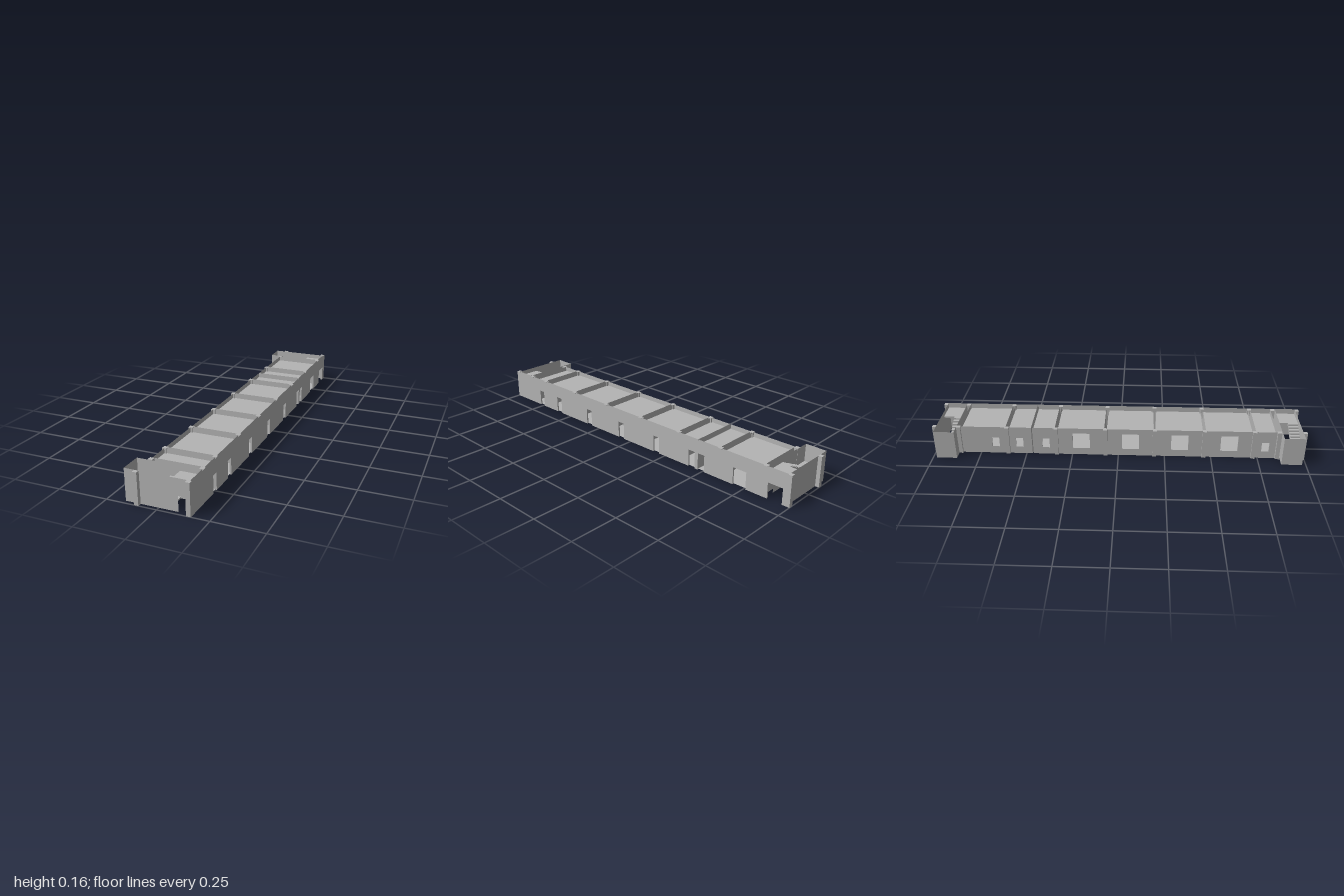
import * as THREE from 'three';
import { mergeGeometries } from 'three/addons/utils/BufferGeometryUtils.js';

const H = 0.16;         // wall height
const DECK = 0.135;     // upper deck level
const BACK_X = -0.1, ROOM_X = 0.155, OUTER_X = 0.163;

const grey = new THREE.MeshStandardMaterial({ color: 0xb4b4b4, side: THREE.DoubleSide });
grey.name = 'concrete grey';

// Flat rectangle lying in the plane where the given axis is constant
function rect(axis, at, a0, a1, b0, b1) {
  const g = new THREE.PlaneGeometry(a1 - a0, b1 - b0);
  const a = (a0 + a1) / 2, b = (b0 + b1) / 2;
  if (axis === 'x') return g.rotateY(at > 0 ? Math.PI / 2 : -Math.PI / 2).translate(at, b, a);
  if (axis === 'z') return g.rotateY(at > 0 ? 0 : Math.PI).translate(a, b, at);
  return g.rotateX(at > 0.01 ? -Math.PI / 2 : Math.PI / 2).translate(a, at, b);
}

// Wall sheet with rectangular openings [start, end, sill, head]
function wallSheet(axis, at, a0, a1, openings = []) {
  const parts = [];
  let cursor = a0;
  const inside = openings.filter(o => o[0] >= a0 && o[1] <= a1).sort((p, q) => p[0] - q[0]);
  for (const [s, e, sill, head] of inside) {
    if (s > cursor) parts.push(rect(axis, at, cursor, s, 0, H));
    if (sill > 0) parts.push(rect(axis, at, s, e, 0, sill));
    parts.push(rect(axis, at, s, e, head, H));
    cursor = e;
  }
  if (a1 > cursor) parts.push(rect(axis, at, cursor, a1, 0, H));
  return mergeGeometries(parts);
}

function box(x0, x1, y0, y1, z0, z1) {
  return new THREE.BoxGeometry(x1 - x0, y1 - y0, z1 - z0)
    .translate((x0 + x1) / 2, (y0 + y1) / 2, (z0 + z1) / 2);
}

function add(parent, name, geometry) {
  const mesh = new THREE.Mesh(geometry, grey);
  mesh.name = name;
  parent.add(mesh);
}

// Doorways along the long corridor wall
const doors = [
  [0.74, 0.775], [0.575, 0.615], [0.31, 0.35], [0.05, 0.09], [-0.21, -0.17],
  [-0.45, -0.41], [-0.51, -0.47], [-0.76, -0.685], [-0.96, -0.88],
].map(([s, e]) => [s, e, 0, s < -0.9 ? 0.083 : 0.09]);

// Windows of the opposite side: large in the wide rooms, small in the others
const windows = [
  ...[-0.2, 0.065, 0.33, 0.595].map(z => [z - 0.046, z + 0.046, 0.04, 0.13]),
  ...[-0.665, -0.535, -0.392, 0.788].map(z => [z - 0.02, z + 0.02, 0.04, 0.095]),
];

// One room: floor, deck and four walls rising to a low parapet
function room(z0, z1) {
  const g = new THREE.Group();
  g.name = 'room';
  const roomDoors = doors.map(([s, e, lo, hi]) => [Math.max(s, z0), Math.min(e, z1), lo, hi])
    .filter(o => o[1] > o[0]);
  add(g, 'floor', rect('y', 0.002, BACK_X, ROOM_X, z0, z1));
  add(g, 'deck', rect('y', DECK, BACK_X, ROOM_X, z0, z1));
  add(g, 'windowWall', wallSheet('x', BACK_X, z0, z1, windows));
  add(g, 'doorWall', wallSheet('x', ROOM_X, z0, z1, roomDoors));
  add(g, 'crossWalls', mergeGeometries([z0, z1].map(z => wallSheet('z', z, BACK_X, ROOM_X))));
  return g;
}

// Stair tower between z0 and z1; both towers turn the same way
function stairTower(z0, z1) {
  const g = new THREE.Group();
  g.name = 'stairTower';
  const front = z0 > 0, outer = front ? z1 : z0, inner = front ? z0 : z1;
  const left = -0.163, mid = DECK / 2, steps = 8;
  const footX = 0.05, turnX = -0.09, run = (footX - turnX) / steps;
  const zm = (z0 + z1) / 2, gap = front ? 0.001 : 0.004;

  add(g, 'endWall', wallSheet('z', outer, left, 0.142, front ? [[0.095, 0.14, 0, 0.08]] : []));
  add(g, 'innerWall', wallSheet('z', inner, left, ROOM_X, [[0.1, 0.145, 0, 0.09]]));
  add(g, 'sideWall', wallSheet('x', left, z0, z1));
  add(g, 'corridorWall', wallSheet('x', ROOM_X, z0, z1, doors));
  add(g, 'middleLanding', box(left, turnX, mid - 0.008, mid, z0, z1));
  add(g, 'upperLanding', box(footX, ROOM_X, DECK - 0.008, DECK, z0, z1));

  // Lower flight climbs away from the doors, upper flight returns
  const lower = [], upper = [];
  for (let i = 0; i < steps; i++) {
    const y = mid * (i + 1) / steps;
    const xl = footX - run * (i + 1), xu = turnX + run * i;
    lower.push(box(xl, xl + run, Math.max(0, y - 0.014), y, z0, zm - gap));
    upper.push(box(xu, xu + run, mid + y - 0.014, mid + y, zm + gap, z1));
  }
  add(g, 'lowerFlight', mergeGeometries(lower));
  add(g, 'upperFlight', mergeGeometries(upper));
  return g;
}

export function createModel() {
  const model = new THREE.Group();
  model.name = 'longBuilding';

  // Rooms with narrow joints between them
  const bays = [
    [-0.85, -0.606], [-0.594, -0.468], [-0.463, -0.341], [-0.329, -0.076], [-0.064, 0.189],
    [0.201, 0.454], [0.466, 0.719], [0.731, 0.843],
  ];
  for (const [z0, z1] of bays) model.add(room(z0, z1));

  model.add(stairTower(-0.98, -0.87), stairTower(0.87, 0.98));

  // Outer face of the long wall, with reveals joining it to the room walls
  add(model, 'outerWall', wallSheet('x', OUTER_X, -1, 1, doors));
  add(model, 'doorReveals', mergeGeometries(doors.flatMap(([s, e, , head]) => [
    rect('y', head, ROOM_X, OUTER_X, s, e),
    rect('z', s, ROOM_X, OUTER_X, 0, head),
    rect('z', e, ROOM_X, OUTER_X, 0, head),
  ])));

  // Window reveals just inside the back wall
  add(model, 'windowReveals', mergeGeometries(windows.flatMap(([s, e, lo, hi]) => [
    rect('y', lo, BACK_X, BACK_X + 0.008, s, e),
    rect('y', hi, BACK_X, BACK_X + 0.008, s, e),
    rect('z', s, BACK_X, BACK_X + 0.008, lo, hi),
    rect('z', e, BACK_X, BACK_X + 0.008, lo, hi),
  ])));

  // Square columns at the joints and at both ends
  const columns = [];
  for (const z of [-0.99, -0.86, -0.6, -0.335, -0.07, 0.195, 0.46, 0.725, 0.855, 0.99]) {
    const r = Math.abs(z) > 0.9 ? 0.01 : 0.011;
    columns.push(box(-0.111, -0.089, 0, H, z - r, z + r));
    columns.push(box(0.14, 0.162, 0, H, z - r, z + r));
  }
  add(model, 'columns', mergeGeometries(columns));
  return model;
}
